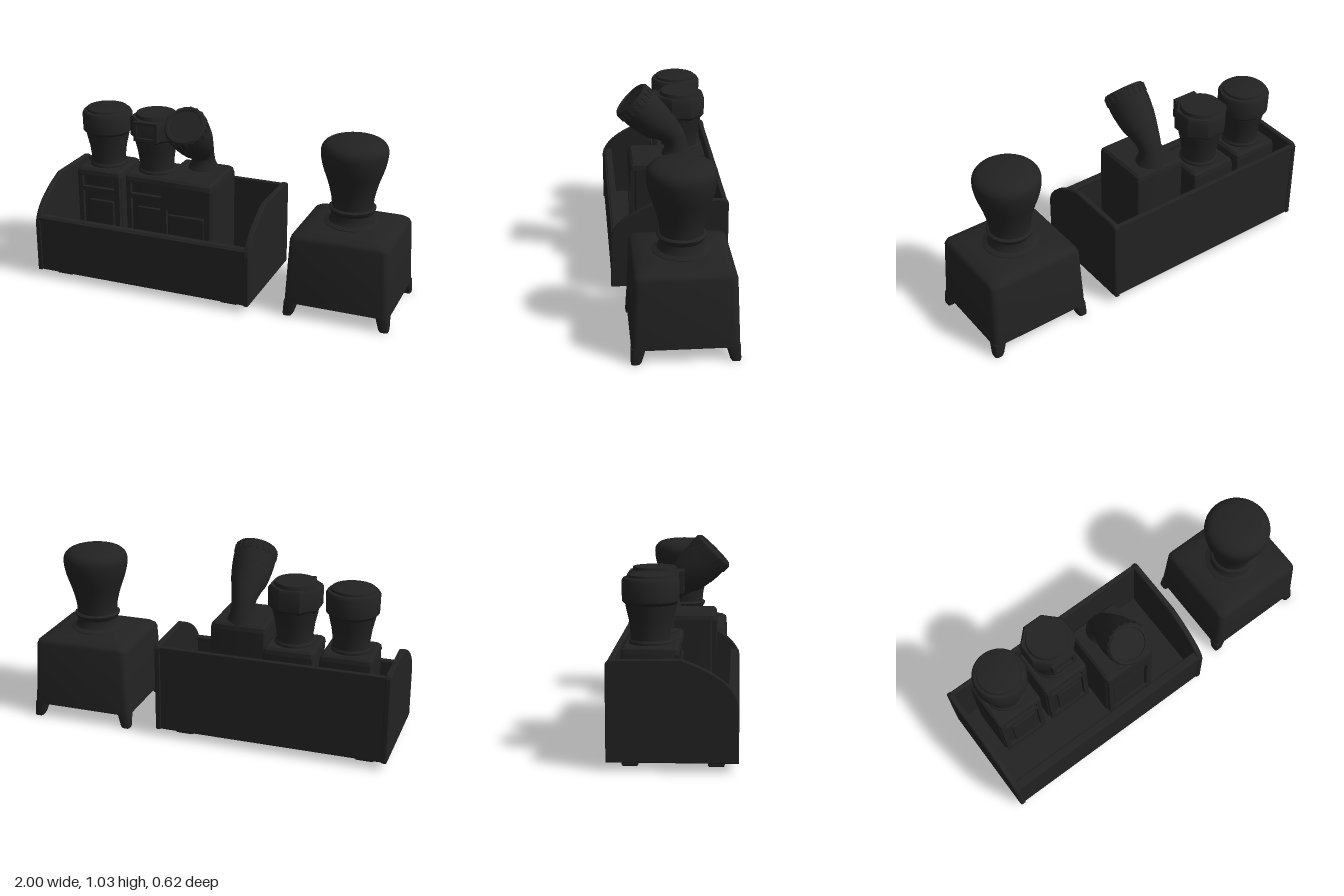
import * as THREE from 'three';
import { toCreasedNormals } from 'three/addons/utils/BufferGeometryUtils.js';
import { RoundedBoxGeometry } from 'three/addons/geometries/RoundedBoxGeometry.js';

const black = new THREE.MeshStandardMaterial({ color: 0x222222 });
black.name = 'matte black';

function add(parent, name, geo, x = 0, y = 0, z = 0) {
  const m = new THREE.Mesh(geo, black);
  m.name = name;
  m.position.set(x, y, z);
  parent.add(m);
  return m;
}

function group(parent, name, x = 0, y = 0, z = 0) {
  const g = new THREE.Group();
  g.name = name;
  g.position.set(x, y, z);
  parent.add(g);
  return g;
}

const box = (w, h, d, r = 0.006) => new RoundedBoxGeometry(w, h, d, 2, r);

// Skin over a list of rings, closed at both ends
function loft(rings) {
  const n = rings[0].length, pos = [], idx = [];
  rings.forEach(r => r.forEach(p => pos.push(p.x, p.y, p.z)));
  for (let i = 0; i < rings.length - 1; i++) {
    for (let j = 0; j < n; j++) {
      const a = i * n + j, b = i * n + (j + 1) % n;
      idx.push(a, a + n, b, b, a + n, b + n);
    }
  }
  [0, rings.length - 1].forEach((k, end) => {
    const c = rings[k].reduce((s, p) => s.add(p), new THREE.Vector3()).divideScalar(n);
    const ci = pos.length / 3;
    pos.push(c.x, c.y, c.z);
    for (let j = 0; j < n; j++) {
      const a = k * n + j, b = k * n + (j + 1) % n;
      if (end) idx.push(ci, b, a); else idx.push(ci, a, b);
    }
  });
  const g = new THREE.BufferGeometry();
  g.setAttribute('position', new THREE.Float32BufferAttribute(pos, 3));
  g.setIndex(idx);
  return toCreasedNormals(g, 0.6);
}

// Horizontal rounded rectangle
function rectRing(y, hx, hz, r, cx = 0, cz = 0) {
  const pts = [], sx = [1, -1, -1, 1], sz = [1, 1, -1, -1];
  for (let c = 0; c < 4; c++) {
    for (let k = 0; k <= 5; k++) {
      const a = (c + k / 5) * Math.PI / 2;
      pts.push(new THREE.Vector3(cx + sx[c] * (hx - r) + r * Math.cos(a), y, cz + sz[c] * (hz - r) + r * Math.sin(a)));
    }
  }
  return pts;
}

// Circle tilted forward by t
function tiltRing(z, y, t, r, n = 32) {
  return Array.from({ length: n }, (_, j) => {
    const a = j / n * Math.PI * 2, v = r * Math.sin(a);
    return new THREE.Vector3(r * Math.cos(a), y - v * Math.sin(t), z + v * Math.cos(t));
  });
}

function lathe(points, seg = 40) {
  return toCreasedNormals(new THREE.LatheGeometry(points.map(p => new THREE.Vector2(...p)), seg), 0.6);
}

function rectPath(P, x0, y0, x1, y1) {
  const p = new P();
  p.moveTo(x0, y0); p.lineTo(x1, y0); p.lineTo(x1, y1); p.lineTo(x0, y1); p.closePath();
  return p;
}

// Stamp housing with a front frame that has window openings
function housing(parent, hx, z0, z1, top, windows) {
  const cz = (z0 + z1) / 2, hz = (z1 - z0) / 2, y0 = 0.07;
  const frame = rectPath(THREE.Shape, -hx + 0.008, y0, hx - 0.008, top - 0.035);
  frame.holes = windows.map(w => rectPath(THREE.Path, ...w));
  const d = 0.022;
  add(parent, 'housing', loft([
    rectRing(y0, hx, hz - d / 2, 0.012, 0, cz - d / 2),
    rectRing(top - 0.035, hx, hz - d / 2, 0.012, 0, cz - d / 2)]));
  add(parent, 'housingCap', loft([
    rectRing(top - 0.035, hx, hz, 0.015, 0, cz),
    rectRing(top - 0.012, hx - 0.004, hz - 0.004, 0.015, 0, cz),
    rectRing(top, hx - 0.016, hz - 0.016, 0.015, 0, cz)]));
  add(parent, 'frontFrame', new THREE.ExtrudeGeometry(frame, { depth: d, bevelEnabled: false }), 0, 0, z1 - d);
}

function buildTray(parent) {
  const tray = group(parent, 'tray');
  add(tray, 'floor', box(1.24, 0.03, 0.61), -0.37, 0.06, 0);
  add(tray, 'frontPanel', box(1.24, 0.315, 0.026), -0.37, 0.2, 0.294);
  add(tray, 'frontRail', box(1.21, 0.02, 0.04), -0.37, 0.353, 0.278);
  add(tray, 'backPanel', box(1.24, 0.475, 0.026), -0.37, 0.28, -0.294);
  // End panels with a curved front corner
  const s = new THREE.Shape();
  s.moveTo(-0.307, 0.047);
  s.lineTo(0.307, 0.047);
  s.lineTo(0.307, 0.505);
  s.quadraticCurveTo(0.305, 0.52, 0.28, 0.525);
  s.lineTo(-0.04, 0.53);
  s.quadraticCurveTo(-0.29, 0.44, -0.307, 0.32);
  s.closePath();
  const geo = new THREE.ExtrudeGeometry(s, { depth: 0.02, bevelSize: 0.005, bevelThickness: 0.005, bevelSegments: 1, curveSegments: 20 });
  geo.rotateY(Math.PI / 2);
  for (const x of [-0.995, 0.235]) add(tray, 'endPanel', geo, x);
  for (const x of [-0.87, 0.12]) for (const z of [-0.205, 0.205]) add(tray, 'trayFoot', box(0.1, 0.05, 0.08, 0.01), x, 0.027, z);
}

function buildUprightStamp(parent, x, faceted) {
  const g = group(parent, faceted ? 'facetedStamp' : 'roundStamp', x);
  housing(g, 0.135, -0.25, 0.025, 0.57, [[-0.1, 0.46, 0.1, 0.525], [-0.1, 0.12, 0.1, 0.435]]);
  add(g, 'windowPlate', box(0.15, 0.25, 0.018), 0.01, 0.26, 0.01);
  const h = group(g, 'handle', 0, 0, -0.115);
  add(h, 'grip', lathe([[0, 0.56], [0.105, 0.56], [0.105, 0.58], [0.097, 0.59], [0.096, 0.62], [0.104, 0.68], [0.117, 0.735], [0.124, 0.775], [0, 0.775]]));
  const head = [[0, 0.755], [0.118, 0.755], [0.137, 0.775], [0.139, 0.87], [0.13, 0.885], [0.115, 0.888], [0.112, 0.9], [0.1, 0.904], [0, 0.904]];
  if (faceted) {
    const k = 1.04;
    const geo = lathe(head.slice(0, 5).map(p => [p[0] * k, p[1]]).concat([[0, 0.885]]), 8);
    geo.rotateY(Math.PI / 8);
    add(h, 'head', geo);
    add(h, 'headCap', new THREE.CylinderGeometry(0.108, 0.114, 0.022, 40), 0, 0.893, 0);
    // Raised badge frame on the front face
    const f = rectPath(THREE.Shape, -0.07, 0.775, 0.07, 0.885);
    f.holes = [rectPath(THREE.Path, -0.052, 0.793, 0.052, 0.867)];
    add(h, 'badgeFrame', new THREE.ExtrudeGeometry(f, { depth: 0.022, bevelEnabled: false }), 0, 0, 0.125);
  } else {
    add(h, 'head', lathe(head));
  }
}

function buildTiltedStamp(parent) {
  const g = group(parent, 'tiltedStamp', -0.15);
  housing(g, 0.15, -0.16, 0.19, 0.64, [[-0.11, 0.12, 0.11, 0.47]]);
  add(g, 'windowPlate', box(0.2, 0.3, 0.012, 0.004), 0, 0.265, 0.172);
  add(g, 'windowBar', box(0.21, 0.03, 0.018), 0, 0.425, 0.175);
  const t = Math.PI / 4;
  add(g, 'bentNeck', loft([
    [-0.07, 0.63, 0, 0.085], [-0.07, 0.65, 0, 0.078], [-0.07, 0.675, 0.05, 0.066], [-0.064, 0.715, 0.25, 0.062],
    [-0.045, 0.75, 0.5, 0.068], [-0.01, 0.785, 0.7, 0.08], [0.025, 0.81, t, 0.094], [0.06, 0.843, t, 0.104], [0.09, 0.87, t, 0.108],
  ].map(a => tiltRing(...a))));
  // Ribbed knob aimed forward and up
  const knob = group(g, 'knob', 0, 0.96, 0.18);
  knob.rotation.x = t;
  add(knob, 'knobBody', lathe([[0, -0.135], [0.108, -0.135], [0.112, -0.09], [0.112, -0.01], [0.104, 0], [0.09, 0], [0.087, -0.007], [0, -0.007]]));
  for (let i = 0; i < 20; i++) {
    const a = i / 20 * Math.PI * 2;
    add(knob, 'gripRib', box(0.014, 0.045, 0.01, 0.003), Math.sin(a) * 0.111, -0.034, Math.cos(a) * 0.111).rotation.y = a;
  }
}

function buildLargeStamp(parent) {
  const g = group(parent, 'largeStamp', 0.713, 0, -0.02);
  add(g, 'body', loft([
    [0.075, 0.282, 0.264, 0.03], [0.425, 0.266, 0.25, 0.035], [0.442, 0.261, 0.245, 0.04], [0.454, 0.247, 0.232, 0.045],
    [0.466, 0.2, 0.19, 0.06], [0.477, 0.14, 0.14, 0.09], [0.48, 0.1, 0.1, 0.09],
  ].map(a => rectRing(...a))));
  for (const sx of [-1, 1]) for (const sz of [-1, 1]) {
    add(g, 'leg', loft([
      rectRing(0, 0.022, 0.022, 0.012, sx * 0.262, sz * 0.244),
      rectRing(0.012, 0.027, 0.027, 0.015, sx * 0.259, sz * 0.241),
      rectRing(0.08, 0.036, 0.036, 0.02, sx * 0.247, sz * 0.229)]));
  }
  add(g, 'collar', lathe([[0, 0.46], [0.148, 0.465], [0.146, 0.48], [0.122, 0.492], [0.112, 0.51], [0.11, 0.535], [0.12, 0.55], [0.124, 0.562], [0.115, 0.57], [0, 0.57]]));
  const profile = new THREE.SplineCurve([[0.108, 0.56], [0.113, 0.62], [0.133, 0.7], [0.16, 0.78], [0.174, 0.85], [0.168, 0.895], [0.135, 0.924], [0.07, 0.937], [0, 0.94]].map(p => new THREE.Vector2(...p)));
  add(g, 'handle', lathe(profile.getPoints(32).map(p => [Math.max(p.x, 0), p.y]), 48));
}

export function createModel() {
  const model = new THREE.Group();
  model.name = 'stampSet';
  buildTray(model);
  buildUprightStamp(model, -0.75, false);
  buildUprightStamp(model, -0.45, true);
  buildTiltedStamp(model);
  buildLargeStamp(model);
  return model;
}
